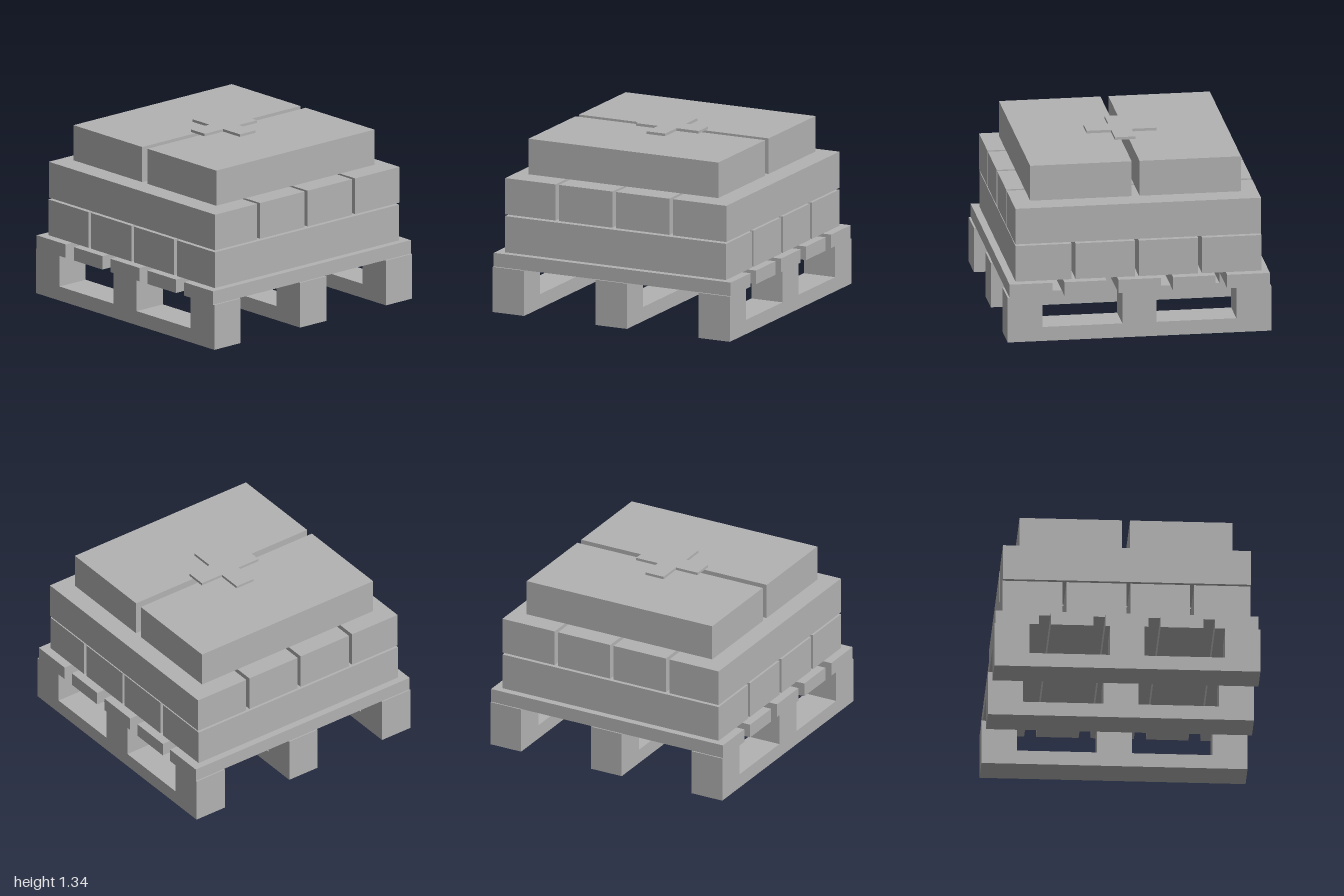
import * as THREE from 'three';

const grey = new THREE.MeshStandardMaterial({ color: 0xb2b2b2 });
grey.name = 'grey';

// Box given by its lower and upper limits on each axis
function block(parent, name, [x0, x1], [y0, y1], [z0, z1]) {
  const mesh = new THREE.Mesh(new THREE.BoxGeometry(x1 - x0, y1 - y0, z1 - z0), grey);
  mesh.position.set((x0 + x1) / 2, (y0 + y1) / 2, (z0 + z1) / 2);
  mesh.name = name;
  parent.add(mesh);
}

// Outline in x and y, extruded along z between two limits
function extrude(points, z0, z1) {
  const shape = new THREE.Shape(points.map(([x, y]) => new THREE.Vector2(x, y)));
  return new THREE.ExtrudeGeometry(shape, { depth: z1 - z0, bevelEnabled: false }).translate(0, 0, z0);
}

function group(parent, name) {
  const g = new THREE.Group();
  g.name = name;
  parent.add(g);
  return g;
}

export function createModel() {
  const model = new THREE.Group();
  model.name = 'loadedPallet';

  // Pallet: three runners with a foot board and three uprights each
  const pallet = group(model, 'pallet');
  const runner = extrude([
    [-1, 0], [1, 0], [1, 0.35], [0.735, 0.35], [0.735, 0.11], [0.13, 0.11], [0.13, 0.35],
    [-0.13, 0.35], [-0.13, 0.11], [-0.735, 0.11], [-0.735, 0.35], [-1, 0.35],
  ], -0.1325, 0.1325);
  for (const z of [-0.8675, 0, 0.8675]) {
    const mesh = new THREE.Mesh(runner, grey);
    mesh.position.z = z;
    mesh.name = 'runner';
    pallet.add(mesh);
  }

  // Deck slats running front to back
  for (const x of [[-0.99, -0.665], [-0.575, -0.255], [-0.165, 0.16], [0.25, 0.57], [0.66, 0.985]]) {
    block(pallet, 'deckSlat', x, [0.35, 0.455], [-1, 1]);
  }

  // Two crossed layers of four packages
  const spans = [[-0.935, -0.485], [-0.455, -0.005], [0.025, 0.475], [0.505, 0.93]];
  const full = [-0.932, 0.932];
  const lower = group(model, 'lowerLayer');
  const middle = group(model, 'middleLayer');
  for (const span of spans) {
    block(lower, 'lowerPackage', span, [0.455, 0.735], full);
    block(middle, 'middlePackage', full, [0.75, 1.03], span);
  }

  // Top pair of packages
  const top = group(model, 'topLayer');
  for (const x of [[-0.8, -0.03], [0.03, 0.8]]) block(top, 'topPackage', x, [1.045, 1.32], [-0.8, 0.8]);

  // Raised cross lying on the top
  const a = 0.265, b = 0.078;
  const cross = new THREE.Mesh(extrude([
    [-b, -a], [b, -a], [b, -b], [a, -b], [a, b], [b, b],
    [b, a], [-b, a], [-b, b], [-a, b], [-a, -b], [-b, -b],
  ], 0, 0.02), grey);
  cross.rotation.x = -Math.PI / 2;
  cross.position.y = 1.32;
  cross.name = 'cross';
  model.add(cross);

  return model;
}
